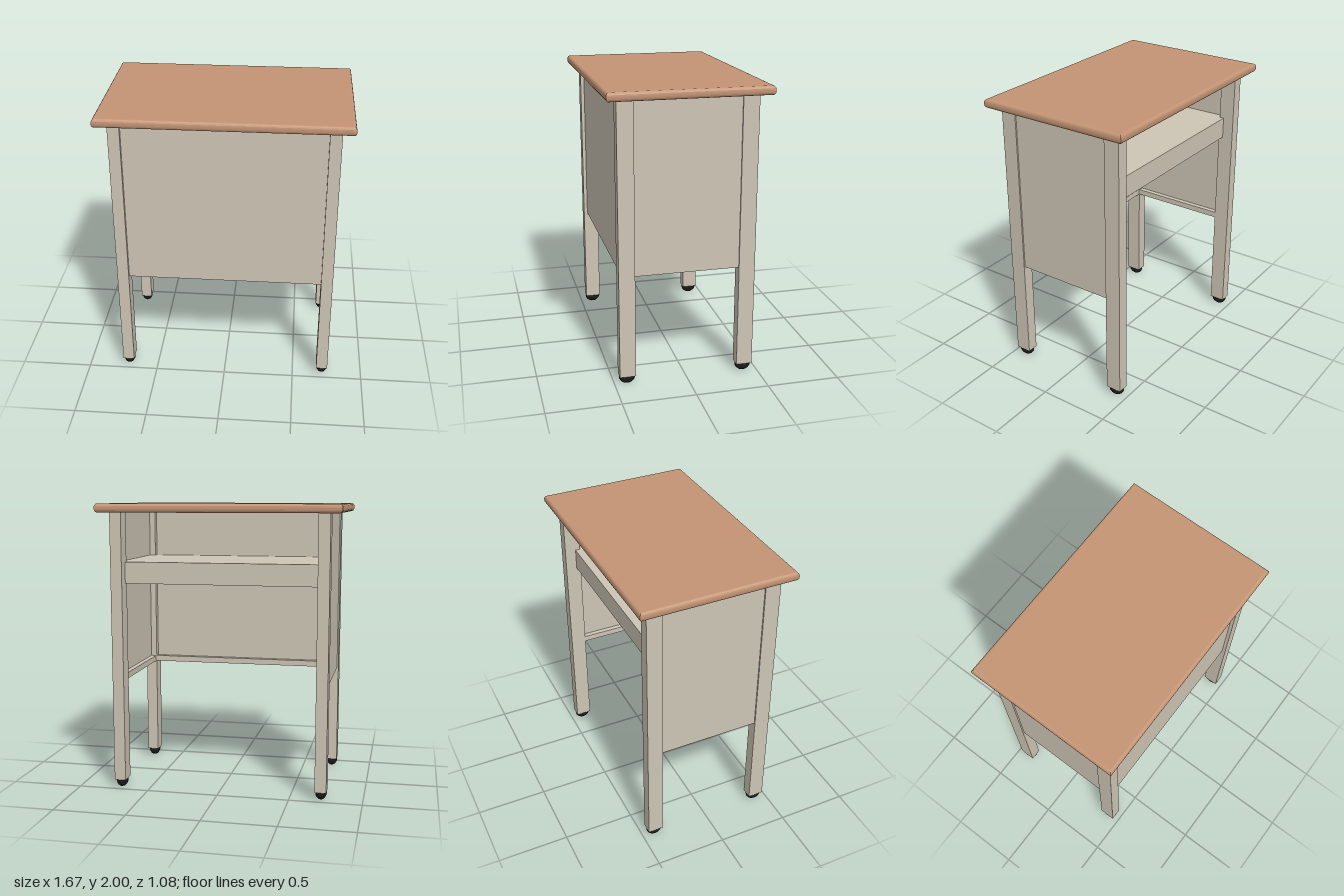
import * as THREE from 'three';

export function createModel() {
  const model = new THREE.Group();
  model.name = 'schoolDesk';

  const material = (name, color) => {
    const m = new THREE.MeshStandardMaterial({ color });
    m.name = name;
    return m;
  };
  const wood = material('wood', 0xc49474);
  const metal = material('paintedMetal', 0xcdc5b5);
  const rubber = material('blackRubber', 0x1c1c1c);

  // Box given by its lower and upper limits on each axis
  const box = (name, [x0, x1], [y0, y1], [z0, z1]) => {
    const mesh = new THREE.Mesh(new THREE.BoxGeometry(x1 - x0, y1 - y0, z1 - z0), metal);
    mesh.position.set((x0 + x1) / 2, (y0 + y1) / 2, (z0 + z1) / 2);
    mesh.name = name;
    model.add(mesh);
  };

  // Desktop with rounded, mitred edges
  const w = 0.817, d = 0.522;
  const outline = new THREE.Shape([
    new THREE.Vector2(-w, -d), new THREE.Vector2(w, -d),
    new THREE.Vector2(w, d), new THREE.Vector2(-w, d),
  ]);
  const topGeometry = new THREE.ExtrudeGeometry(outline, {
    depth: 0.01, bevelThickness: 0.025, bevelSize: 0.018, bevelSegments: 4,
  });
  topGeometry.rotateX(-Math.PI / 2);
  const desktop = new THREE.Mesh(topGeometry, wood);
  desktop.position.y = 1.965;
  desktop.name = 'desktop';
  model.add(desktop);

  // Legs and rounded feet
  const footProfile = [[0, 0], [0.5, 0], [0.78, 0.012], [0.95, 0.026], [1, 0.04], [0.97, 0.055], [0, 0.055]]
    .map(([r, y]) => new THREE.Vector2(r, y));
  const footGeometry = new THREE.LatheGeometry(footProfile, 16);
  footGeometry.scale(0.04, 1, 0.056);
  for (const sx of [-1, 1]) {
    for (const sz of [-1, 1]) {
      const x = sx * 0.713, z = sz * 0.41;
      box('leg', [x - 0.04, x + 0.04], [0.053, 1.942], [z - 0.055, z + 0.055]);
      const foot = new THREE.Mesh(footGeometry, rubber);
      foot.position.set(x, 0, z);
      foot.name = 'foot';
      model.add(foot);
    }
  }

  // Front panel with its bottom rail
  box('frontPanel', [-0.68, 0.68], [0.77, 1.942], [0.4, 0.44]);
  box('frontRail', [-0.68, 0.68], [0.77, 0.812], [0.36, 0.4]);

  // Side panels with their bottom rails
  for (const s of [-1, 1]) {
    const span = (a, b) => (s > 0 ? [a, b] : [-b, -a]);
    box('sidePanel', span(0.715, 0.743), [0.77, 1.942], [-0.36, 0.36]);
    box('sideRail', span(0.678, 0.715), [0.77, 0.812], [-0.36, 0.36]);
  }

  // Book shelf with a hanging lip at the open back
  box('shelf', [-0.673, 0.673], [1.57, 1.6], [-0.36, 0.4]);
  for (const s of [-1, 1]) {
    box('shelfEnd', s > 0 ? [0.673, 0.715] : [-0.715, -0.673], [1.57, 1.6], [-0.355, 0.355]);
  }
  box('shelfLip', [-0.673, 0.673], [1.45, 1.6], [-0.387, -0.36]);

  return model;
}
